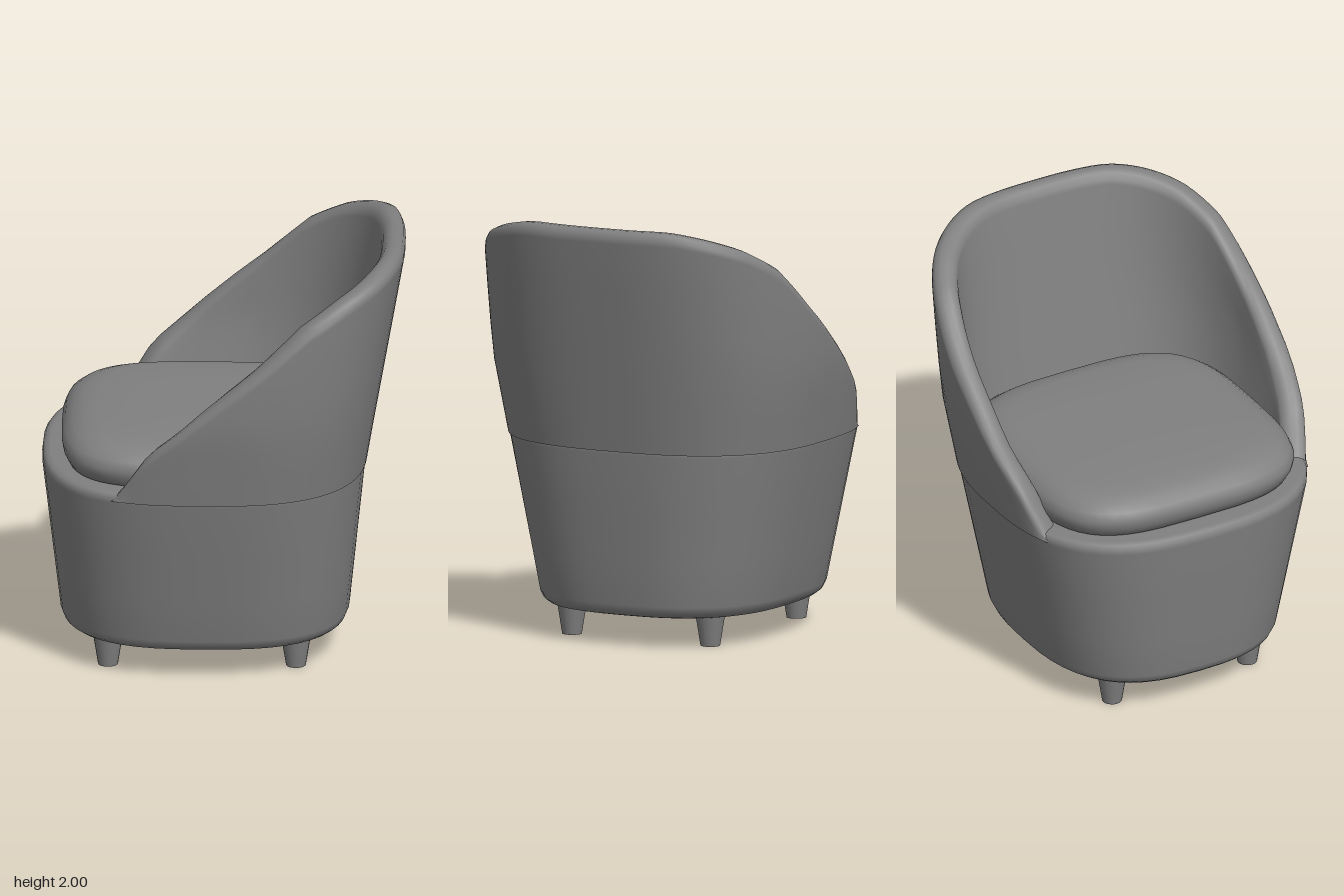
import * as THREE from 'three';

const upholstery = new THREE.MeshStandardMaterial({ color: 0x808080 });
upholstery.name = 'grey upholstery';

// Piecewise linear lookup through [key, value] knots
function lookup(knots, k) {
  if (k <= knots[0][0]) return knots[0][1];
  for (let i = 1; i < knots.length; i++) {
    const [a, va] = knots[i - 1], [b, vb] = knots[i];
    if (k <= b) return va + (vb - va) * (k - a) / (b - a);
  }
  return knots[knots.length - 1][1];
}

// Rounded-square outline point; angle 0 is the back (+x)
function outline(t, cx, hx, hz, n) {
  const p = (v) => Math.sign(v) * Math.abs(v) ** (2 / n);
  return [cx + hx * p(Math.cos(t)), hz * p(Math.sin(t))];
}

// Smooth surface through cols profiles of rows points each
function loft(cols, rows, closedCols, closedRows, point) {
  const pos = [], index = [];
  for (let i = 0; i < cols; i++) for (let j = 0; j < rows; j++) pos.push(...point(i, j));
  for (let i = 0; i < (closedCols ? cols : cols - 1); i++) {
    for (let j = 0; j < (closedRows ? rows : rows - 1); j++) {
      const i2 = (i + 1) % cols, j2 = (j + 1) % rows;
      const a = i * rows + j, b = i * rows + j2, c = i2 * rows + j2, d = i2 * rows + j;
      index.push(a, b, c, a, c, d);
    }
  }
  const g = new THREE.BufferGeometry();
  g.setAttribute('position', new THREE.Float32BufferAttribute(pos, 3));
  g.setIndex(index);
  g.computeVertexNormals();
  return g;
}

// Tapered outer form shared by the base and the backrest
const FRONT = [[0.14, -0.75], [0.2, -0.757], [0.93, -0.842], [2, -0.842]];
const BACK = [[0.14, 0.578], [0.2, 0.585], [0.95, 0.662], [1.93, 0.84], [2, 0.85]];
const WIDTH = [[0.14, 0.588], [0.2, 0.6], [0.95, 0.755], [1.3, 0.812], [1.55, 0.82], [2, 0.825]];
function hull(t, y, inset) {
  const f = lookup(FRONT, y), b = lookup(BACK, y);
  const [x, z] = outline(t, (f + b) / 2, (b - f) / 2 - inset, lookup(WIDTH, y) - inset, 2.7);
  return [x, y, z];
}

// Hollow base: [inset, height] from the underside opening, round the outside and back
function baseGeometry() {
  const profile = [
    [0.23, 0.145], [0.22, 0.14], [0.06, 0.14], [0.03, 0.147], [0.01, 0.165], [0, 0.2],
    [0, 0.4], [0, 0.65], [0, 0.92], [0.004, 0.945], [0.016, 0.962], [0.04, 0.97],
    [0.2, 0.97], [0.21, 0.96], [0.23, 0.16],
  ];
  const n = 48;
  return loft(n, profile.length, true, true, (i, j) =>
    hull(i / n * Math.PI * 2, profile[j][1], profile[j][0]));
}

// Wraparound backrest whose rim sweeps from the arm tips up to the back
const RIM = [
  [-0.5, 0.95], [-0.43, 1.06], [-0.35, 1.18], [-0.2, 1.3], [-0.05, 1.43], [0.2, 1.62],
  [0.42, 1.81], [0.6, 1.91], [0.74, 1.97], [0.8, 1.995], [0.82, 2],
];
function backrestGeometry() {
  const bottom = 0.932, tip = 2.04, n = 65;
  const lip = [[0, 0.06], [0.004, 0.035], [0.018, 0.01], [0.042, 0], [0.07, 0],
    [0.094, 0.01], [0.108, 0.035], [0.112, 0.06]];
  const levels = [0, 0.2, 0.4, 0.6, 0.8];
  const rows = levels.length * 2 + lip.length;
  return loft(n, rows, false, false, (i, j) => {
    const t = -tip + 2 * tip * i / (n - 1);
    let h = 1.5;
    for (let k = 0; k < 8; k++) h = lookup(RIM, hull(t, h, 0)[0]);
    const shoulder = Math.max(bottom, h - 0.06);
    const level = (f) => bottom + (shoulder - bottom) * f;
    if (j < levels.length) return hull(t, level(levels[j]), -0.006 * (1 - levels[j]));
    if (j >= levels.length + lip.length) return hull(t, level(levels[rows - 1 - j]), 0.112);
    const [inset, drop] = lip[j - levels.length];
    return hull(t, Math.max(bottom, h - drop), inset);
  });
}

// Plump seat cushion: [scale, height] from bottom centre to top centre
function cushionGeometry() {
  const profile = [
    [0, 0.966], [0.9, 0.966], [0.96, 0.975], [0.99, 1.015], [1, 1.055], [0.975, 1.095],
    [0.92, 1.125], [0.85, 1.145], [0.75, 1.158], [0.5, 1.166], [0.25, 1.168], [0, 1.168],
  ];
  const n = 48;
  return loft(n, profile.length, true, false, (i, j) => {
    const [s, y] = profile[j];
    const [x, z] = outline(i / n * Math.PI * 2, 0, 0.66 * s, 0.66 * s, 3.5);
    return [x - 0.09, y, z];
  });
}

export function createModel() {
  const chair = new THREE.Group();
  chair.name = 'tubChair';
  const add = (name, geometry) => {
    const mesh = new THREE.Mesh(geometry, upholstery);
    mesh.name = name;
    chair.add(mesh);
    return mesh;
  };

  add('base', baseGeometry());
  add('backrest', backrestGeometry());
  add('seatCushion', cushionGeometry());

  // Four tapered legs
  const legGeometry = new THREE.CylinderGeometry(0.07, 0.046, 0.15, 20);
  for (const [end, x] of [['front', -0.53], ['back', 0.34]]) {
    for (const [side, z] of [['Left', 0.36], ['Right', -0.36]]) {
      add(end + side + 'Leg', legGeometry).position.set(x, 0.075, z);
    }
  }
  return chair;
}
